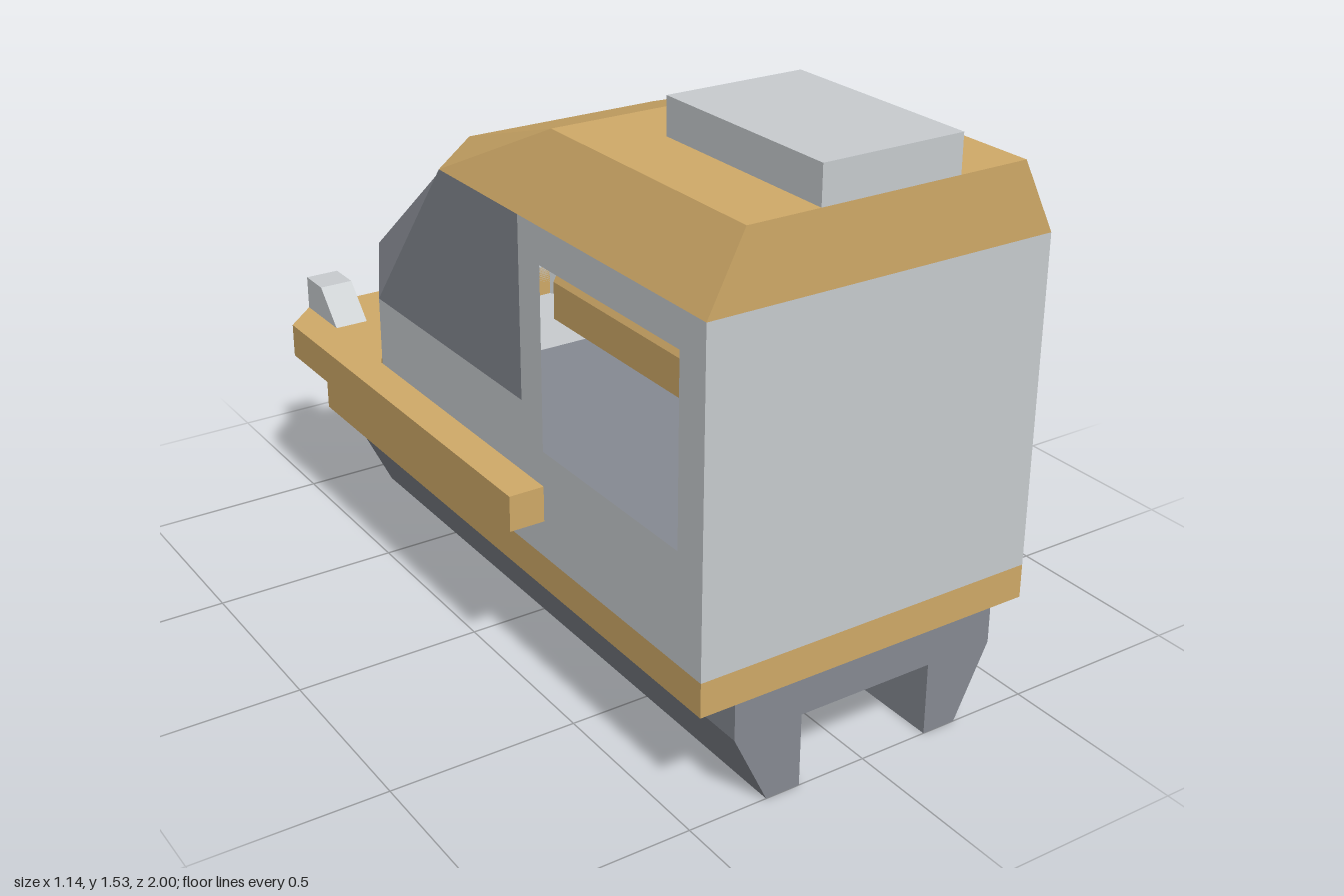
import * as THREE from 'three';

const DS = THREE.DoubleSide;
const make = (name, color) => {
  const m = new THREE.MeshStandardMaterial({ color, side: DS, flatShading: true });
  m.name = name;
  return m;
};

export function createModel() {
  const tan = make('tan', 0xd0aa68);
  const light = make('lightGrey', 0xc8cccf);
  const dark = make('slateGrey', 0x868a92);
  const model = new THREE.Group();

  const add = (name, geo, mat) => {
    const mesh = new THREE.Mesh(geo, mat);
    mesh.name = name;
    model.add(mesh);
    return mesh;
  };
  // box given by its lower and upper limits
  const box = (name, mat, x0, x1, y0, y1, z0, z1) =>
    add(name, new THREE.BoxGeometry(x1 - x0, y1 - y0, z1 - z0)
      .translate((x0 + x1) / 2, (y0 + y1) / 2, (z0 + z1) / 2), mat);
  const shape = pts => new THREE.Shape(pts.map(p => new THREE.Vector2(...p)));
  const extrude = (pts, depth) =>
    new THREE.ExtrudeGeometry(shape(pts), { depth, bevelEnabled: false });
  const mirror = pts => [...pts, ...pts.slice().reverse().map(([x, y]) => [-x, y])];

  // flat-faced skin: every face is turned to point away from the cab's middle
  const centre = new THREE.Vector3(0, 0.8, 0.1);
  const skin = (name, mat, faces) => {
    const out = [];
    for (const f of faces) {
      const v = f.map(p => new THREE.Vector3(...p));
      for (let i = 1; i < v.length - 1; i++) {
        const t = [v[0], v[i], v[i + 1]];
        const n = t[1].clone().sub(t[0]).cross(t[2].clone().sub(t[0]));
        if (n.dot(t[0].clone().sub(centre)) < 0) t.reverse();
        t.forEach(p => out.push(p.x, p.y, p.z));
      }
    }
    const g = new THREE.BufferGeometry();
    g.setAttribute('position', new THREE.Float32BufferAttribute(out, 3));
    g.computeVertexNormals();
    add(name, g, mat);
  };

  const W = 0.475, N = 0.285, R = 0.38;   // half widths: body, nose, roof
  const back = -0.905;

  // undercarriage straddling a rail
  add('undercarriage', extrude(mirror([[0.19, 0.195], [0.19, 0], [0.285, 0], [R, 0.195], [R, 0.29]]), 1 - back)
    .translate(0, 0, back), dark);

  // lower hull
  box('lowerStripe', tan, -W, W, 0.29, 0.38, back, 1);
  box('lowerHull', light, -W, W, 0.38, 0.48, back, 1);
  box('cabFloor', dark, -W + 0.01, W - 0.01, 0.48, 0.488, -0.53, 0.99);

  // bumper wrapping round the nose
  const bumper = mirror([[N, back], [W, -0.53], [W, 0.335], [0.57, 0.335], [0.57, back], [W, -1]]);
  add('bumper', extrude(bumper, 0.095).rotateX(Math.PI / 2).translate(0, 0.573, 0), tan);

  // headlights
  for (const x of [W, -R]) {
    add('headlight', extrude([[-1, 0.573], [-0.815, 0.573], [back, 0.667], [-1, 0.667]], 0.095)
      .rotateY(-Math.PI / 2).translate(x, 0, 0), light);
  }

  // side walls with window openings
  const wall = shape([[1, 0.48], [1, 1.24], [0.238, 1.24], [0.238, 0.765], [-0.525, 0.765], [-0.525, 0.48]]);
  wall.holes.push(new THREE.Path([[0.905, 0.667], [0.335, 0.667], [0.335, 1.145], [0.905, 1.145]]
    .map(p => new THREE.Vector2(...p))));
  for (const s of [1, -1]) {
    const g = new THREE.ShapeGeometry(wall).rotateY(-Math.PI / 2);
    if (s > 0) g.scale(-1, 1, 1).setIndex([...g.index.array].reverse()), g.computeVertexNormals();
    add('sideWall', g.translate(s * W, 0, 0), light);
  }

  // end wall and nose walls
  skin('endWall', light, [[[-W, 0.48, 1], [W, 0.48, 1], [W, 1.24, 1], [-W, 1.24, 1]]]);
  skin('noseWalls', light, [
    [[-N, 0.48, back], [N, 0.48, back], [N, 0.765, back], [-N, 0.765, back]],
    ...[1, -1].map(s => [[s * W, 0.48, -0.525], [s * N, 0.48, back], [s * N, 0.765, back], [s * W, 0.765, -0.525]]),
  ]);

  // glazing: windscreen, side panes and folded corner panes
  const corner = s => [[s * W, 1.24, -0.145], [s * N, 1.24, -0.335], [s * N, 0.765, back], [s * W, 0.765, -0.525]];
  const [a, b, c, d] = corner(1), [e, f, g, h] = corner(-1);
  skin('windscreen', dark, [[b, f, g, c]]);
  skin('cornerPanes', dark, [[a, b, c], [a, c, d], [e, f, h], [f, g, h]]);
  skin('sidePanes', dark, [[a, d, [W, 0.765, 0.238], [W, 1.24, 0.238]],
    [e, h, [-W, 0.765, 0.238], [-W, 1.24, 0.238]]]);

  // roof
  const roof = [
    [[-R, 1.43, 1], [R, 1.43, 1], [R, 1.43, 0.238], [-R, 1.43, 0.238]],
    [[-R, 1.43, 0.238], [R, 1.43, 0.238], b, f],
    [[-W, 1.24, 1], [W, 1.24, 1], [R, 1.43, 1], [-R, 1.43, 1]],
  ];
  for (const s of [1, -1]) {
    const [p, q] = corner(s), top = [s * R, 1.43, 0.238];
    roof.push([[s * W, 1.24, 1], p, top, [s * R, 1.43, 1]], [p, q, top]);
  }
  skin('roof', tan, roof);
  box('roofUnit', light, -0.19, 0.19, 1.43, 1.527, 0.43, 1);

  // bevelled duct hanging under the ceiling
  add('ceilingDuct', extrude(mirror([[R, 0.955], [R, 1.05], [0.285, 1.24]]), 0.752)
    .translate(0, 0, 0.238), tan);

  return model;
}
